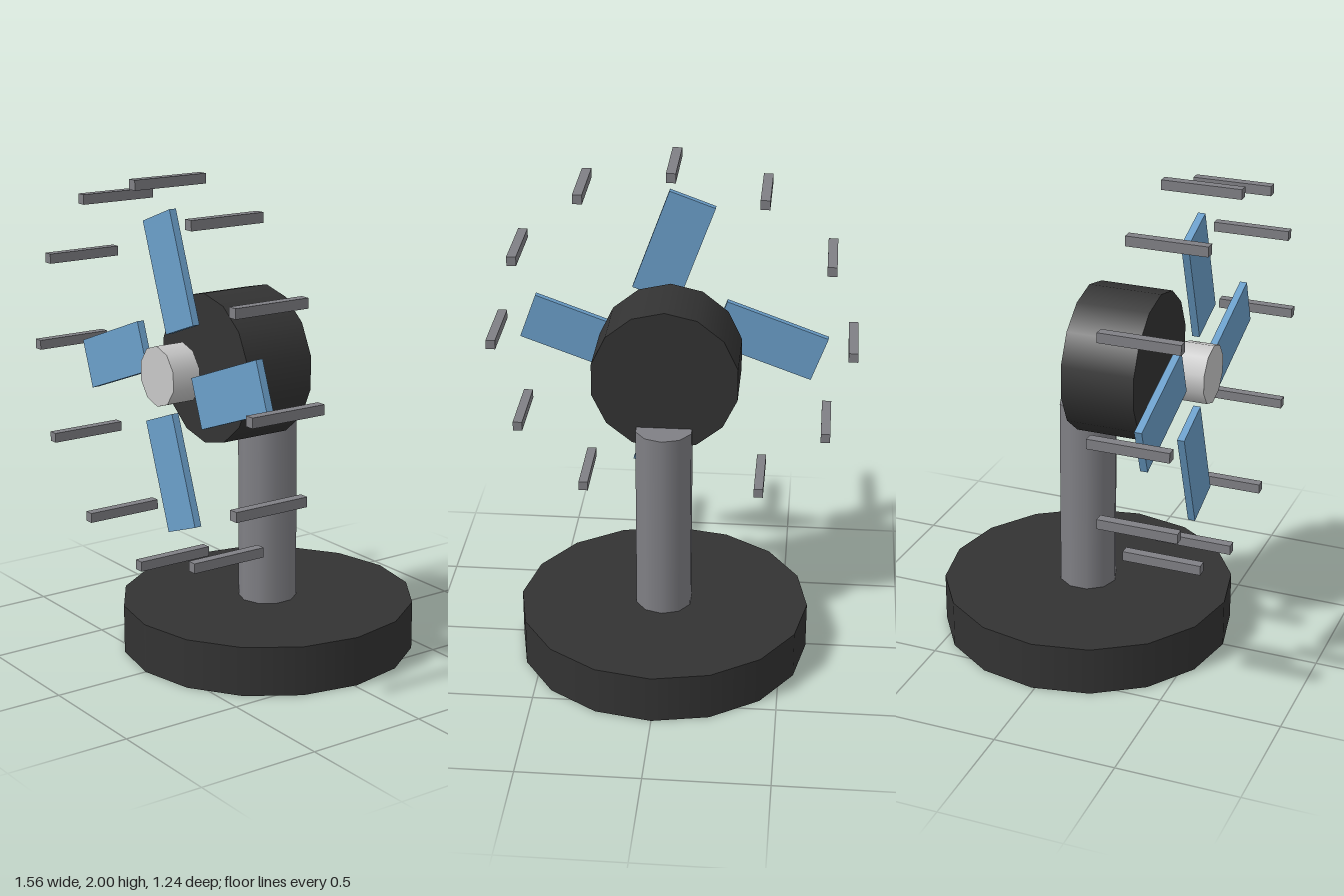
import * as THREE from 'three';

const material = (name, color) => {
  const m = new THREE.MeshStandardMaterial({ color });
  m.name = name;
  return m;
};

export function createModel() {
  const model = new THREE.Group();
  model.name = 'deskFan';

  const dark = material('charcoal', 0x333333);
  const grey = material('steelGrey', 0x808085);
  const light = material('lightGrey', 0xc8c8c8);
  const blue = material('bladeBlue', 0x6b9fca);

  const add = (name, geometry, mat, x, y, z) => {
    const mesh = new THREE.Mesh(geometry, mat);
    mesh.name = name;
    mesh.position.set(x, y, z);
    model.add(mesh);
    return mesh;
  };
  // Cylinder standing upright, or lying along z
  const upright = (r, h, sides) => new THREE.CylinderGeometry(r, r, h, sides);
  const lying = (r, h, sides) => upright(r, h, sides).rotateX(Math.PI / 2);

  const axisY = 1.22;
  const standZ = -0.012;

  // Stand
  add('base', upright(0.608, 0.203, 16), dark, 0, 0.1015, standZ);
  add('post', upright(0.12, 0.812, 10), grey, 0, 0.609, standZ);

  // Motor housing and hub
  add('motor', lying(0.305, 0.304, 14), dark, 0, axisY, 0.145);
  add('hub', lying(0.122, 0.122, 10), light, 0, axisY, 0.46);

  // Four blades, each turned 20 degrees about its own centre
  const bladeGeometry = new THREE.BoxGeometry(0.203, 0.456, 0.03);
  for (let i = 0; i < 4; i++) {
    const a = (i * Math.PI) / 2;
    const blade = add('blade', bladeGeometry, blue,
      -Math.sin(a) * 0.406, axisY + Math.cos(a) * 0.406, 0.45);
    blade.rotation.z = a + THREE.MathUtils.degToRad(20);
  }

  // Ring of twelve square guard bars
  const barGeometry = new THREE.BoxGeometry(0.04, 0.04, 0.324);
  for (let i = 0; i < 12; i++) {
    const a = (i * Math.PI) / 6;
    add('guardBar', barGeometry, grey,
      Math.cos(a) * 0.76, axisY + Math.sin(a) * 0.76, 0.458);
  }

  return model;
}
